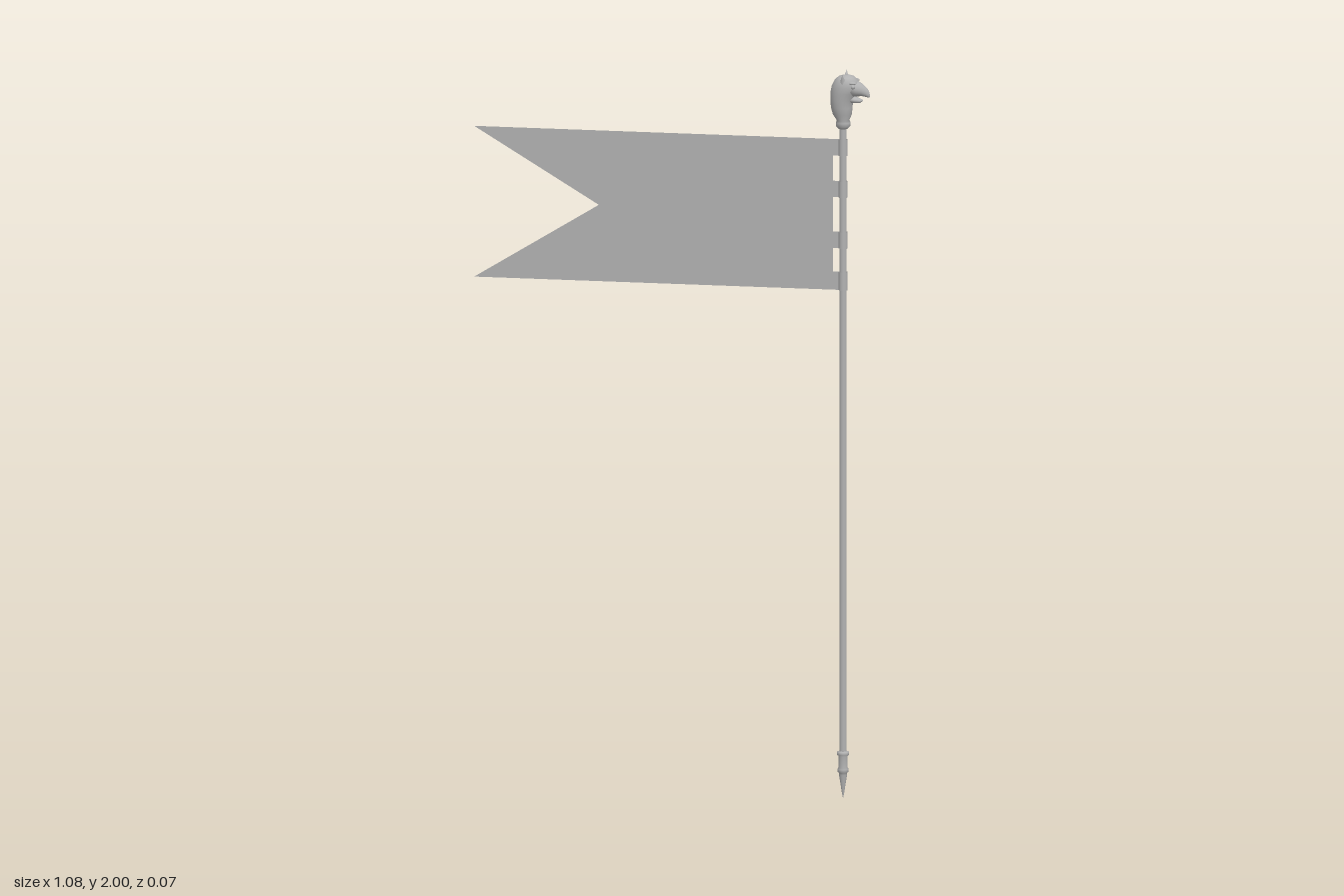
import * as THREE from 'three';

const POLE_X = 0.466;
const metal = new THREE.MeshStandardMaterial({ color: 0xb2b2b2 });
metal.name = 'grey';
const cloth = new THREE.MeshStandardMaterial({ color: 0xb2b2b2, side: THREE.DoubleSide });
cloth.name = 'grey cloth';

function add(parent, name, geometry, material = metal) {
  const mesh = new THREE.Mesh(geometry, material);
  mesh.name = name;
  parent.add(mesh);
  return mesh;
}

// Skin over elliptical rings [centre, half-axis u, half-axis v]; the ring runs u to v, travel is along u x v
function loft(rings, n = 24) {
  const pos = [], idx = [];
  const point = (v) => pos.push(v.x, v.y, v.z);
  for (const [c, u, v] of rings) {
    for (let i = 0; i < n; i++) {
      const a = (i / n) * Math.PI * 2;
      point(c.clone().addScaledVector(u, Math.cos(a)).addScaledVector(v, Math.sin(a)));
    }
  }
  for (let r = 0; r < rings.length - 1; r++) {
    for (let i = 0; i < n; i++) {
      const a = r * n + i, b = r * n + (i + 1) % n;
      idx.push(a, b, b + n, a, b + n, a + n);
    }
  }
  const last = (rings.length - 1) * n, s = rings.length * n;
  point(rings[0][0]);
  point(rings[rings.length - 1][0]);
  for (let i = 0; i < n; i++) {
    const j = (i + 1) % n;
    idx.push(s, j, i, s + 1, last + i, last + j);
  }
  const g = new THREE.BufferGeometry();
  g.setAttribute('position', new THREE.Float32BufferAttribute(pos, 3));
  g.setIndex(idx);
  g.computeVertexNormals();
  return g;
}

const V = (x, y, z) => new THREE.Vector3(x, y, z);
// Upright ring from back x to front x
const level = ([y, x0, x1, rz]) => [V((x0 + x1) / 2, y, 0), V(0, 0, rz), V((x1 - x0) / 2, 0, 0)];
// Ring facing +x, used for the beak
const facing = ([x, y, ry, rz]) => [V(x, y, 0), V(0, ry, 0), V(0, 0, rz)];

function createHead() {
  const head = new THREE.Group();
  head.name = 'birdHeadFinial';

  add(head, 'neckAndSkull', loft([
    [1.845, 0.453, 0.479, 0.013], [1.852, 0.447, 0.486, 0.02], [1.862, 0.447, 0.486, 0.021],
    [1.868, 0.449, 0.483, 0.019], [1.885, 0.438, 0.49, 0.025], [1.905, 0.433, 0.492, 0.029],
    [1.925, 0.432, 0.493, 0.031], [1.945, 0.432, 0.503, 0.034], [1.962, 0.435, 0.511, 0.035],
    [1.978, 0.443, 0.507, 0.033], [1.988, 0.453, 0.497, 0.025], [1.993, 0.468, 0.484, 0.008],
  ].map(level)));

  // Hooked upper beak and short lower beak
  add(head, 'upperBeak', loft([
    [0.485, 1.958, 0.026, 0.031], [0.503, 1.957, 0.022, 0.024], [0.518, 1.953, 0.017, 0.016],
    [0.529, 1.947, 0.013, 0.009], [0.536, 1.942, 0.01, 0.005], [0.539, 1.938, 0.004, 0.001],
  ].map(facing)));
  add(head, 'lowerBeak', loft([
    [0.48, 1.928, 0.012, 0.02], [0.5, 1.925, 0.009, 0.014], [0.513, 1.923, 0.006, 0.008],
    [0.52, 1.924, 0.002, 0.002],
  ].map(facing), 16));

  for (const side of [-1, 1]) {
    const tuft = add(head, 'earTuft', new THREE.ConeGeometry(0.011, 0.034, 12));
    tuft.position.set(0.47, 1.984, side * 0.029);
    tuft.rotation.x = side * 0.4;
    const eye = add(head, 'eye', new THREE.SphereGeometry(0.006, 12, 8));
    eye.position.set(0.497, 1.965, side * 0.026);
    const brow = add(head, 'brow', new THREE.SphereGeometry(0.012, 12, 8));
    brow.scale.set(1, 0.35, 0.55);
    brow.position.set(0.495, 1.975, side * 0.026);
  }
  return head;
}

export function createModel() {
  const model = new THREE.Group();
  model.name = 'bannerOnPole';

  const pole = add(model, 'pole', new THREE.CylinderGeometry(0.01, 0.01, 1.75, 20));
  pole.position.set(POLE_X, 0.975, 0);

  // Ferrule and ground spike
  const spike = [[0, 0], [0.003, 0.015], [0.011, 0.066], [0.011, 0.072], [0.015, 0.074], [0.015, 0.082],
    [0.0125, 0.086], [0.0125, 0.118], [0.016, 0.121], [0.016, 0.129], [0.01, 0.131]];
  const foot = add(model, 'footSpike',
    new THREE.LatheGeometry(spike.map(([r, y]) => new THREE.Vector2(r, y)), 20));
  foot.position.x = POLE_X;

  // Swallow-tailed cloth with tabs reaching the pole
  const tabs = [[1.4, 1.45], [1.515, 1.56], [1.655, 1.7], [1.77, 1.815]];
  const edge = 0.456, slot = 0.439;
  const outline = new THREE.Shape();
  outline.moveTo(-0.54, 1.4);
  tabs.forEach(([low, high], i) => {
    if (i) outline.lineTo(slot, low);
    outline.lineTo(edge, low);
    outline.lineTo(edge, high);
    if (i < tabs.length - 1) outline.lineTo(slot, high);
  });
  outline.lineTo(-0.54, 1.815);
  outline.lineTo(-0.2, 1.61);
  outline.closePath();
  add(model, 'flag', new THREE.ShapeGeometry(outline), cloth);

  // Tab loops around the pole
  for (const [low, high] of tabs) {
    const loop = add(model, 'tabLoop',
      new THREE.CylinderGeometry(0.012, 0.012, high - low, 20, 1, true), cloth);
    loop.position.set(POLE_X, (low + high) / 2, 0);
  }

  model.add(createHead());
  return model;
}
